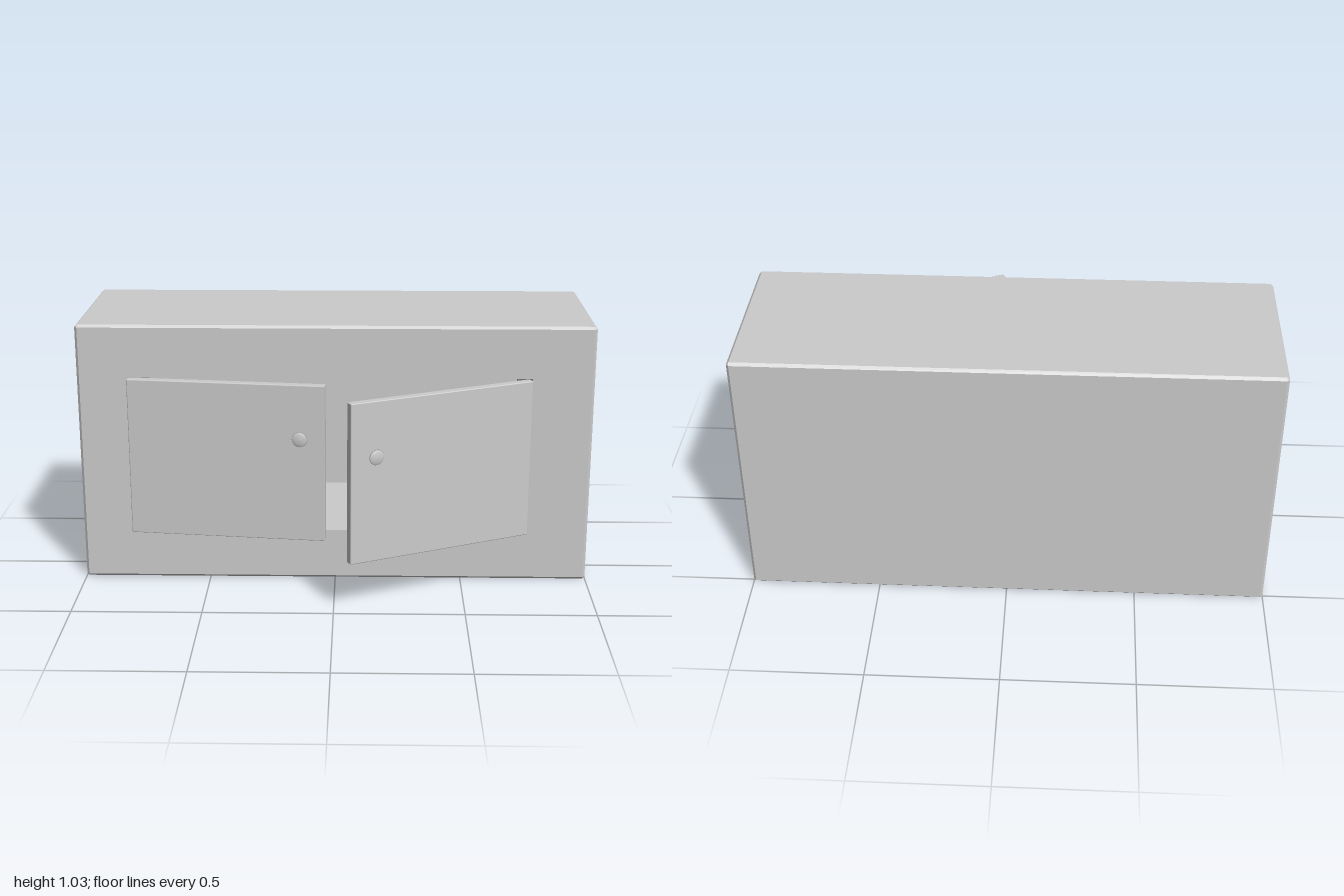
import * as THREE from 'three';
import { RoundedBoxGeometry } from 'three/addons/geometries/RoundedBoxGeometry.js';

const material = new THREE.MeshStandardMaterial({ color: 0xcccccc });

// Rectangle loop with chamfered corners, counter-clockwise seen from the front
function rectLoop([x0, x1], [y0, y1], z, c) {
  return [
    [x1, y0 + c], [x1, y1 - c], [x1 - c, y1], [x0 + c, y1],
    [x0, y1 - c], [x0, y0 + c], [x0 + c, y0], [x1 - c, y0],
  ].map(([x, y]) => new THREE.Vector3(x, y, z));
}

// Skin consecutive loops with flat faces and cap both ends
function loft(loops) {
  const points = [];
  const n = loops[0].length;
  for (let k = 0; k < loops.length - 1; k++) {
    for (let i = 0; i < n; i++) {
      const j = (i + 1) % n;
      const [a, b, c, d] = [loops[k][i], loops[k][j], loops[k + 1][j], loops[k + 1][i]];
      points.push(a, b, c, a, c, d);
    }
  }
  const first = loops[0], last = loops[loops.length - 1];
  for (let i = 1; i < n - 1; i++) {
    points.push(first[0], first[i + 1], first[i]);
    points.push(last[0], last[i], last[i + 1]);
  }
  const geometry = new THREE.BufferGeometry().setFromPoints(points);
  geometry.computeVertexNormals();
  return geometry;
}

// Hollow cabinet: bevelled outside, front rim, then the cavity walls
function createCabinet() {
  const b = 0.01, back = -0.515, front = 0.15;
  const X = [-1, 1], Y = [0, 1.035];
  const inX = [-1 + b, 1 - b], inY = [b, 1.035 - b];
  const holeX = [-0.8, 0.76], holeY = [0.205, 0.83];
  const mesh = new THREE.Mesh(loft([
    rectLoop(inX, inY, back, 0),
    rectLoop(X, Y, back + b, b),
    rectLoop(X, Y, front - b, b),
    rectLoop(inX, inY, front, 0),
    rectLoop(holeX, holeY, front, 0),
    rectLoop(holeX, holeY, -0.42, 0),
  ]), material);
  mesh.name = 'cabinetBody';
  return mesh;
}

// Door panel with a knob near its free edge; side is the knob's direction in x
function createDoor(name, side, x, z, angle) {
  const door = new THREE.Group();
  door.name = name;
  const panel = new THREE.Mesh(new RoundedBoxGeometry(0.77, 0.627, 0.035, 1, 0.004), material);
  panel.name = 'doorPanel';

  // Thin stem with a flat, slightly domed disc
  const profile = [[0.007, 0], [0.007, 0.024], [0.02, 0.025], [0.03, 0.028], [0.028, 0.031], [0.015, 0.034], [0, 0.035]]
    .map(([r, h]) => new THREE.Vector2(r, h));
  const knob = new THREE.Mesh(new THREE.LatheGeometry(profile, 24), material);
  knob.name = 'knob';
  knob.rotation.x = Math.PI / 2;
  knob.position.set(side * 0.292, 0.107, 0.0165);

  door.add(panel, knob);
  door.position.set(x, 0.518, z);
  door.rotation.y = angle;
  return door;
}

export function createModel() {
  const group = new THREE.Group();
  group.name = 'cabinet';
  group.add(
    createCabinet(),
    createDoor('rightDoor', 1, -0.418, 0.214, -0.111),
    createDoor('leftDoor', -1, 0.405, 0.334, 0.443),
  );
  return group;
}
